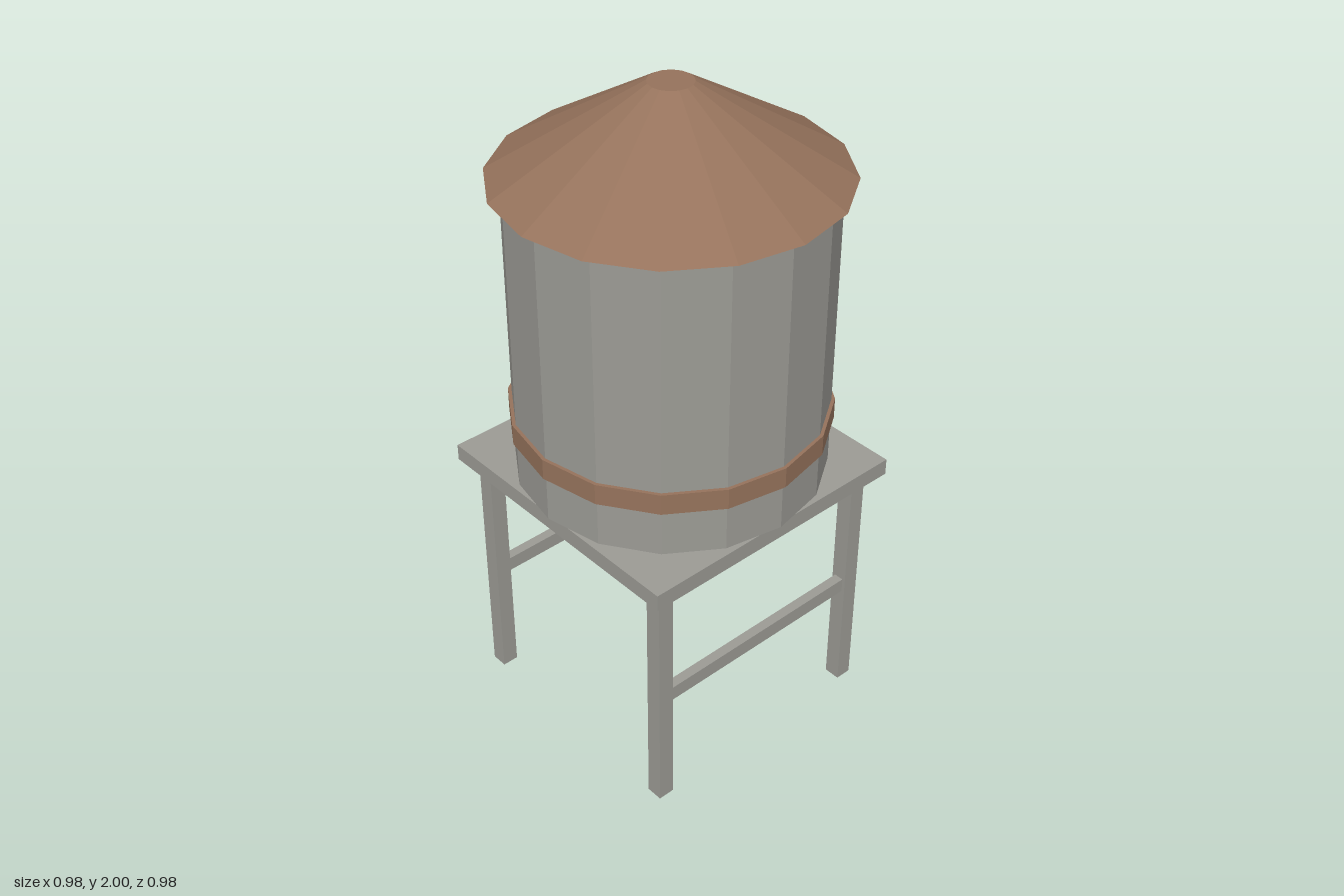
import * as THREE from 'three';

export function createModel() {
  const model = new THREE.Group();
  model.name = 'waterTower';

  const metal = new THREE.MeshStandardMaterial({ color: 0x9c9b95, flatShading: true });
  metal.name = 'grey metal';
  const rust = new THREE.MeshStandardMaterial({ color: 0x96735c, flatShading: true });
  rust.name = 'rusty brown';

  const add = (name, geometry, material, x, y, z) => {
    const mesh = new THREE.Mesh(geometry, material);
    mesh.name = name;
    mesh.position.set(x, y, z);
    model.add(mesh);
  };
  // Sixteen-sided drum or cone between two heights
  const drum = (name, topRadius, bottomRadius, y0, y1, material) =>
    add(name, new THREE.CylinderGeometry(topRadius, bottomRadius, y1 - y0, 16), material, 0, (y0 + y1) / 2, 0);

  // Tank, hoop and conical roof
  drum('tank', 0.45, 0.45, 0.836, 1.74, metal);
  drum('hoop', 0.46, 0.46, 0.98, 1.044, rust);
  drum('roof', 0.0625, 0.4875, 1.74, 2, rust);

  // Square platform
  add('platform', new THREE.BoxGeometry(0.874, 0.051, 0.874), metal, 0, 0.8105, 0);

  // Four legs, with one cross brace at the front and one at the back
  for (const z of [-0.37, 0.37]) {
    for (const x of [-0.37, 0.37]) {
      add('leg', new THREE.BoxGeometry(0.05, 0.785, 0.05), metal, x, 0.3925, z);
    }
    add('brace', new THREE.BoxGeometry(0.69, 0.046, 0.03), metal, 0, 0.378, z);
  }
  return model;
}
